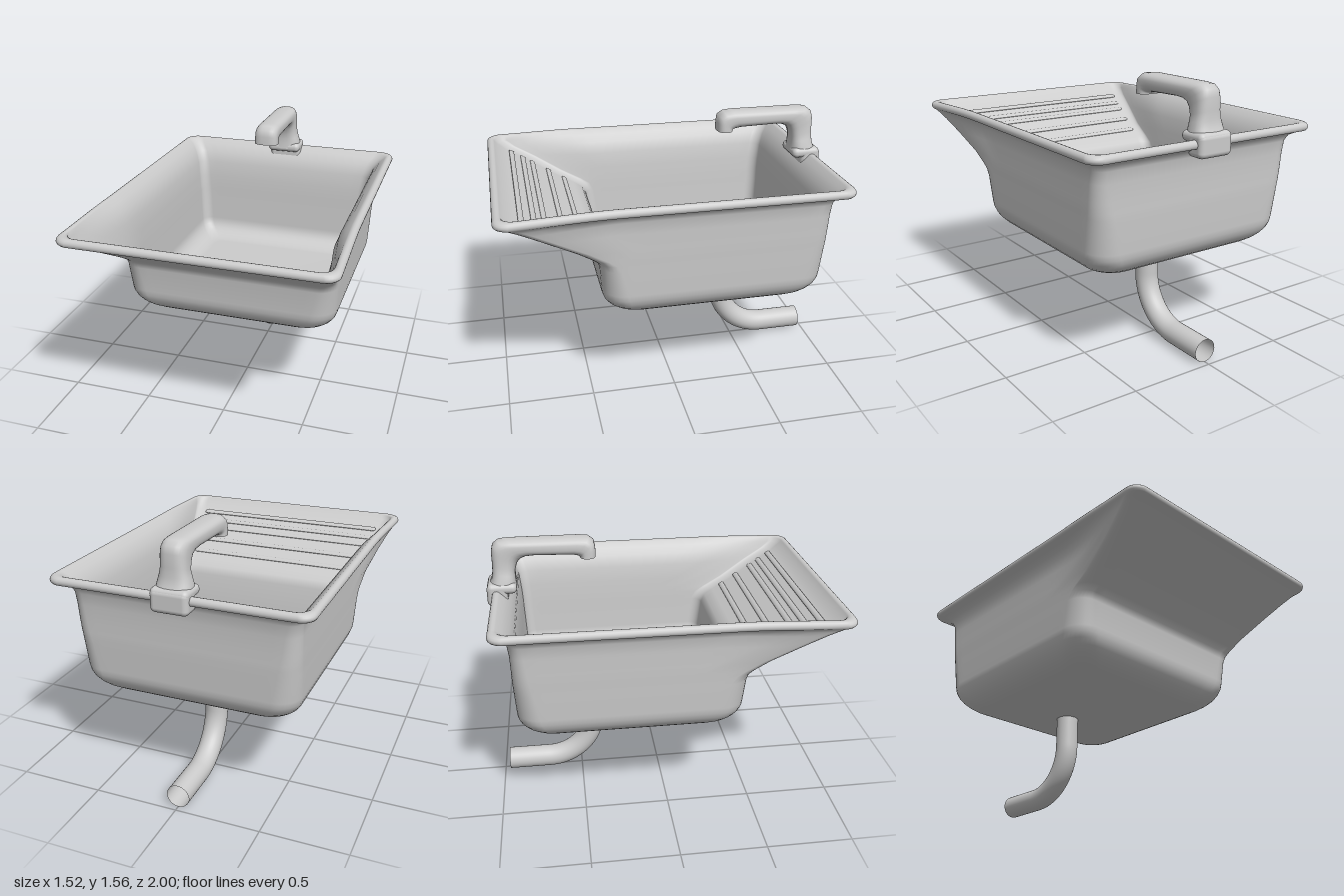
import * as THREE from 'three';
import { RoundedBoxGeometry } from 'three/addons/geometries/RoundedBoxGeometry.js';

const { clamp, lerp, smoothstep } = THREE.MathUtils;
const material = new THREE.MeshStandardMaterial({ color: 0xcccccc });
const openMaterial = new THREE.MeshStandardMaterial({ color: 0xcccccc, side: THREE.DoubleSide });

function add(parent, name, geometry, mat = material) {
  const mesh = new THREE.Mesh(geometry, mat);
  mesh.name = name;
  parent.add(mesh);
  return mesh;
}

// Skin a list of closed rings (arrays of [x, y, z]) with smooth normals
function loft(rings) {
  const n = rings[0].length;
  const index = [];
  for (let i = 0; i < rings.length - 1; i++) {
    for (let j = 0; j < n; j++) {
      const a = i * n + j, c = i * n + ((j + 1) % n);
      index.push(a, a + n, c, c, a + n, c + n);
    }
  }
  const geometry = new THREE.BufferGeometry();
  geometry.setAttribute('position', new THREE.Float32BufferAttribute(rings.flat(2), 3));
  geometry.setIndex(index);
  geometry.computeVertexNormals();
  return geometry;
}

// Rounded rectangle ring; its front part widens from hwBack to hwFront
function basinRing([y, hwBack, hwFront, zBack, zFront], radius) {
  const SIDE = 20, CORNER = 8;
  const r = Math.min(radius, hwBack);
  const corners = [[1, zFront - r], [-1, zFront - r], [-1, zBack + r], [1, zBack + r]];
  const arcs = corners.map(([sx, cz], quarter) => Array.from({ length: CORNER + 1 }, (_, i) => {
    const t = (quarter + i / CORNER) * Math.PI / 2;
    return [sx * (hwBack - r) + r * Math.cos(t), cz + r * Math.sin(t)];
  }));
  const outline = arcs.flatMap((arc, k) => {
    const [x0, z0] = arc[CORNER], [x1, z1] = arcs[(k + 1) % 4][0];
    const side = Array.from({ length: SIDE - 1 }, (_, i) => [lerp(x0, x1, (i + 1) / SIDE), lerp(z0, z1, (i + 1) / SIDE)]);
    return [...arc, ...side];
  });
  const widen = hwBack > 0 ? hwFront / hwBack - 1 : 0;
  return outline.map(([x, z]) => {
    const t = clamp((z - 0.36) / Math.max(zFront - 0.36, 0.01), 0, 1);
    // The rim dips slightly towards the front lip
    const dip = 0.015 * smoothstep(z, 0.4, 1) * smoothstep(y, 1.1, 1.25);
    return [x * (1 + widen * t), y - dip, z];
  });
}

// Flat bottom and quarter-round edge running up into a wall
function bottomSections(y, height, inset, hw, zBack, zFront) {
  const middle = -0.21;
  const sections = [[y, 0, 0, middle, middle]];
  for (let i = 0; i <= 8; i++) {
    const t = i / 8 * Math.PI / 2;
    const d = inset * (1 - Math.sin(t));
    sections.push([y + height * (1 - Math.cos(t)), hw - d, hw - d, zBack + d, zFront - d]);
  }
  return sections;
}

// Rolled edge, turning from the underside over to the inside
function rimSections() {
  return Array.from({ length: 9 }, (_, i) => {
    const t = lerp(-0.8, 2.4, i / 8);
    const d = 0.026 * Math.cos(t);
    return [1.253 + 0.026 * Math.sin(t), 0.72 + d, 0.737 + d, -0.945 - d, 0.974 + d];
  });
}

// Wall sections: y, half width at back and front, z at back and front
const outerWall = [
  [0.87, 0.645, 0.645, -0.868, 0.443],
  [0.91, 0.646, 0.646, -0.87, 0.46],
  [0.94, 0.648, 0.648, -0.87, 0.495],
  [1.00, 0.65, 0.655, -0.87, 0.59],
  [1.10, 0.652, 0.695, -0.872, 0.76],
  [1.17, 0.657, 0.725, -0.88, 0.87],
  [1.205, 0.675, 0.74, -0.895, 0.925],
  [1.225, 0.71, 0.748, -0.93, 0.96],
];
const innerWall = [
  [0.88, 0.59, 0.59, -0.823, 0.38],
  [0.93, 0.592, 0.592, -0.825, 0.405],
  [0.965, 0.595, 0.60, -0.826, 0.46],
  [1.03, 0.60, 0.62, -0.83, 0.585],
  [1.13, 0.61, 0.665, -0.84, 0.755],
  [1.20, 0.635, 0.70, -0.865, 0.88],
  [1.245, 0.67, 0.715, -0.90, 0.935],
];

function basinGeometry() {
  const outside = [...bottomSections(0.545, 0.17, 0.2, 0.639, -0.862, 0.432), ...outerWall, ...rimSections()];
  const inside = [...bottomSections(0.59, 0.12, 0.14, 0.58, -0.815, 0.36), ...innerWall].reverse();
  return loft([
    ...outside.map((s) => basinRing(s, lerp(0.14, 0.075, smoothstep(s[0], 0.6, 1.15)))),
    ...inside.map((s) => basinRing(s, 0.06)),
  ]);
}

// Faucet sections: outer edge z, y; inner edge z, y
const faucetProfile = [
  [-0.985, 1.30, -0.825, 1.28],
  [-0.97, 1.33, -0.83, 1.32],
  [-0.962, 1.37, -0.83, 1.35],
  [-0.96, 1.42, -0.828, 1.38],
  [-0.96, 1.49, -0.815, 1.42],
  [-0.95, 1.53, -0.795, 1.445],
  [-0.92, 1.553, -0.76, 1.458],
  [-0.87, 1.558, -0.70, 1.462],
  [-0.45, 1.558, -0.50, 1.455],
  [-0.40, 1.552, -0.475, 1.45],
  [-0.37, 1.53, -0.46, 1.447],
  [-0.362, 1.49, -0.455, 1.442],
  [-0.362, 1.437, -0.455, 1.437],
];

// Soft-cornered ring that flares out towards the foot
function faucetRing([zo, yo, zi, yi]) {
  const soft = (v) => Math.sign(v) * Math.abs(v) ** 0.75;
  const halfWidth = 0.102 - 0.028 * smoothstep(yo, 1.28, 1.43);
  return Array.from({ length: 32 }, (_, i) => {
    const t = i / 32 * Math.PI * 2;
    const s = soft(Math.sin(t)) / 2;
    return [halfWidth * soft(Math.cos(t)), (yo + yi) / 2 - (yo - yi) * s, (zo + zi) / 2 - (zo - zi) * s];
  });
}

export function createModel() {
  const sink = new THREE.Group();
  sink.name = 'sink';

  add(sink, 'basin', basinGeometry());

  // Shallow ribs across the sloping front
  const ribs = new THREE.Group();
  ribs.name = 'washboardRibs';
  sink.add(ribs);
  for (const z of [0.52, 0.62, 0.72, 0.78, 0.85]) {
    const length = 2 * (0.44 + 0.2 * z);
    const geometry = new THREE.CapsuleGeometry(0.018, length, 6, 12).rotateZ(Math.PI / 2).scale(1, 0.4, 1);
    const rib = add(ribs, 'rib', geometry);
    rib.position.set(0, 0.965 + (z - 0.46) * 0.56, z);
    rib.rotation.x = -Math.atan(0.56);
  }

  // Faucet: clamp over the back rim, swept neck and closed spout
  const faucet = new THREE.Group();
  faucet.name = 'faucet';
  sink.add(faucet);
  add(faucet, 'faucetClamp', new RoundedBoxGeometry(0.215, 0.13, 0.12, 5, 0.03)).position.set(0, 1.245, -0.94);
  add(faucet, 'faucetBase', new RoundedBoxGeometry(0.215, 0.06, 0.17, 5, 0.028)).position.set(0, 1.285, -0.912);
  const rings = faucetProfile.map(faucetRing);
  add(faucet, 'faucetNeck', loft(rings));
  const mouth = rings[rings.length - 1];
  add(faucet, 'spoutMouth', loft([mouth, mouth.map(() => [0, 1.437, -0.4085])]));

  // Drain pipe: straight drop, quarter bend, open end at the back
  const p = (y, z) => new THREE.Vector3(0, y, z);
  const path = new THREE.CurvePath();
  path.add(new THREE.LineCurve3(p(0.57, -0.415), p(0.36, -0.415)));
  path.add(new THREE.CubicBezierCurve3(p(0.36, -0.415), p(0.2, -0.415), p(0.068, -0.547), p(0.068, -0.707)));
  path.add(new THREE.LineCurve3(p(0.068, -0.707), p(0.068, -0.965)));
  add(sink, 'drainPipe', new THREE.TubeGeometry(path, 60, 0.068, 32), openMaterial);

  return sink;
}
